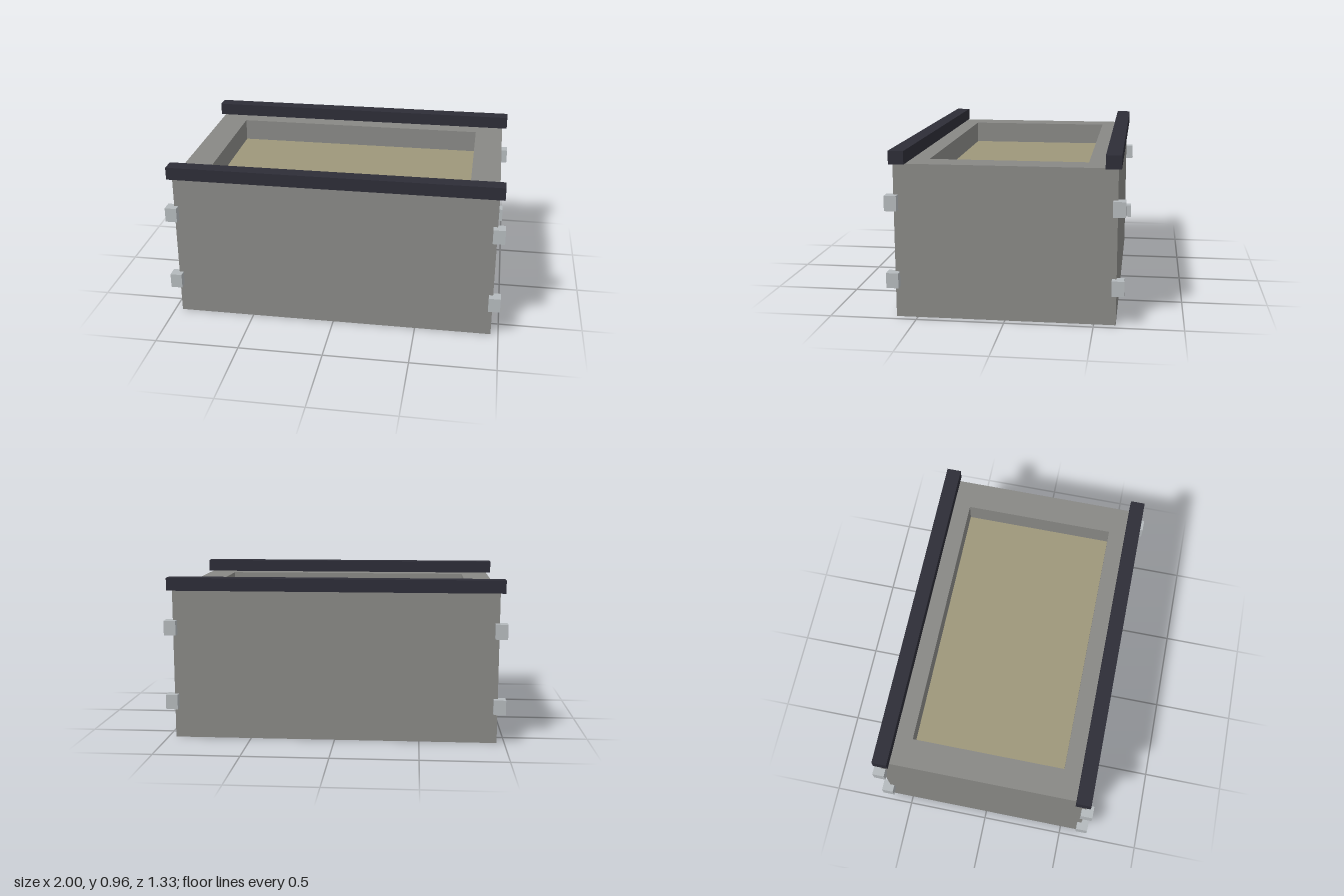
import * as THREE from 'three';

const material = (name, color) => {
  const m = new THREE.MeshStandardMaterial({ color });
  m.name = name;
  return m;
};

export function createModel() {
  const stone = material('stone grey', 0x888885);
  const sand = material('sand', 0x9d977a);
  const rail = material('dark rail', 0x2d2d37);
  const metal = material('light metal', 0xb4b9bc);

  const model = new THREE.Group();
  model.name = 'openBox';

  const add = (name, geometry, mat, x, y, z) => {
    const mesh = new THREE.Mesh(geometry, mat);
    mesh.name = name;
    mesh.position.set(x, y, z);
    model.add(mesh);
    return mesh;
  };

  const W = 0.955, D = 0.623, H = 0.885; // half width, half depth, height
  const holeW = 0.783, holeD = 0.452, floorY = 0.75;

  // Solid lower body
  add('body', new THREE.BoxGeometry(2 * W, floorY - 0.005, 2 * D), stone, 0, (floorY - 0.005) / 2, 0);

  // Rim around the recess
  const outline = (w, d) => [[-w, -d], [w, -d], [w, d], [-w, d]].map(([x, y]) => new THREE.Vector2(x, y));
  const shape = new THREE.Shape(outline(W, D));
  shape.holes.push(new THREE.Path(outline(holeW, holeD).reverse()));
  const rim = new THREE.ExtrudeGeometry(shape, { depth: H - floorY + 0.005, bevelEnabled: false });
  rim.rotateX(-Math.PI / 2);
  add('rim', rim, stone, 0, floorY - 0.005, 0);

  // Filling at the bottom of the recess
  add('filling', new THREE.BoxGeometry(2 * holeW, 0.005, 2 * holeD), sand, 0, floorY - 0.0025, 0);

  // Top rails, and two clamps on each vertical edge
  const railGeometry = new THREE.BoxGeometry(1.97, 0.075, 0.087);
  const clampGeometry = new THREE.BoxGeometry(0.07, 0.087, 0.07);
  for (const sz of [-1, 1]) {
    add(sz > 0 ? 'frontRail' : 'backRail', railGeometry, rail, 0, H + 0.0375, sz * 0.5965);
    for (const sx of [-1, 1]) {
      for (const y of [0.223, 0.667]) {
        add('cornerClamp', clampGeometry, metal, sx * 0.965, y, sz * 0.632);
      }
    }
  }
  return model;
}
